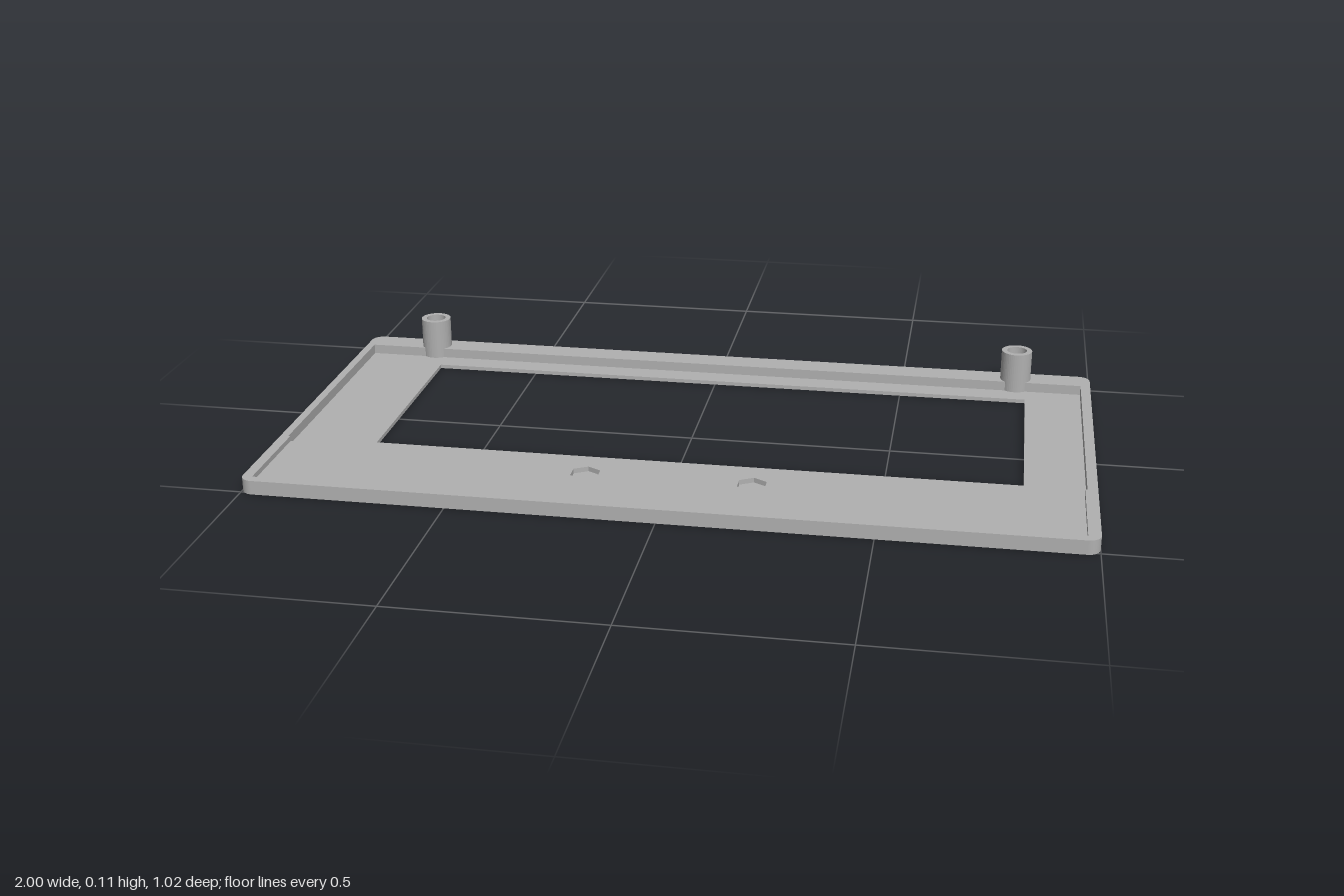
import * as THREE from 'three';

const BASE = 0.01, STRIP = 0.022, RIM = 0.035, POST = 0.115;

// Closed path from [x, z] points (shape y is -z)
function loop(points, Type = THREE.Path) {
  return new Type(points.map(([x, z]) => new THREE.Vector2(x, -z)));
}

function rect(x0, x1, z0, z1, Type) {
  return loop([[x0, z1], [x1, z1], [x1, z0], [x0, z0]], Type);
}

function hexagon(cx, cz, r) {
  const points = [];
  for (let i = 0; i < 6; i++) {
    const a = Math.PI / 2 + i * Math.PI / 3;
    points.push([cx + r * Math.cos(a), cz + r * Math.sin(a)]);
  }
  return loop(points);
}

// Plate outline with rounded corners
function outline() {
  const w = 1, d = 0.51, r = 0.03;
  const s = new THREE.Shape();
  s.absarc(w - r, d - r, r, 0, Math.PI / 2);
  s.absarc(-w + r, d - r, r, Math.PI / 2, Math.PI);
  s.absarc(-w + r, -d + r, r, Math.PI, Math.PI * 1.5);
  s.absarc(w - r, -d + r, r, Math.PI * 1.5, Math.PI * 2);
  s.closePath();
  return s;
}

// Upright slab between two heights
function slab(name, shape, holes, y0, y1, material) {
  shape.holes.push(...holes);
  const geometry = new THREE.ExtrudeGeometry(shape, { depth: y1 - y0, bevelEnabled: false, curveSegments: 24 });
  geometry.rotateX(-Math.PI / 2);
  geometry.translate(0, y0, 0);
  const mesh = new THREE.Mesh(geometry, material);
  mesh.name = name;
  return mesh;
}

export function createModel() {
  const group = new THREE.Group();
  group.name = 'displayBezel';
  const grey = new THREE.MeshStandardMaterial({ color: 0xb0b0b0 });
  grey.name = 'grey plastic';

  // Thin floor with the off-centre window
  group.add(slab('floor', outline(), [rect(-0.77, 0.83, -0.38, 0.18)], 0, BASE, grey));

  // Raised rim around the deep pocket and the slightly narrower front strip
  const pocket = loop([
    [-0.98, -0.44], [0.975, -0.44], [0.975, 0.235], [0.97, 0.235],
    [0.97, 0.485], [-0.975, 0.485], [-0.975, 0.235], [-0.98, 0.235],
  ]);
  group.add(slab('rim', outline(), [pocket], BASE, RIM, grey));

  // Raised front strip with two hexagonal nut recesses
  const recesses = [-0.208, 0.195].map((x) => hexagon(x, 0.305, 0.038));
  group.add(slab('frontStrip', rect(-0.975, 0.97, 0.235, 0.485, THREE.Shape), recesses, BASE, STRIP, grey));

  // Hollow screw posts on the back rim
  for (const [name, x] of [['rightPost', -0.805], ['leftPost', 0.803]]) {
    const ring = new THREE.Shape();
    ring.absarc(x, 0.47, 0.04, 0, Math.PI * 2);
    const bore = new THREE.Path();
    bore.absarc(x, 0.47, 0.026, 0, Math.PI * 2, true);
    group.add(slab(name, ring, [bore], BASE, POST, grey));
  }
  return group;
}
